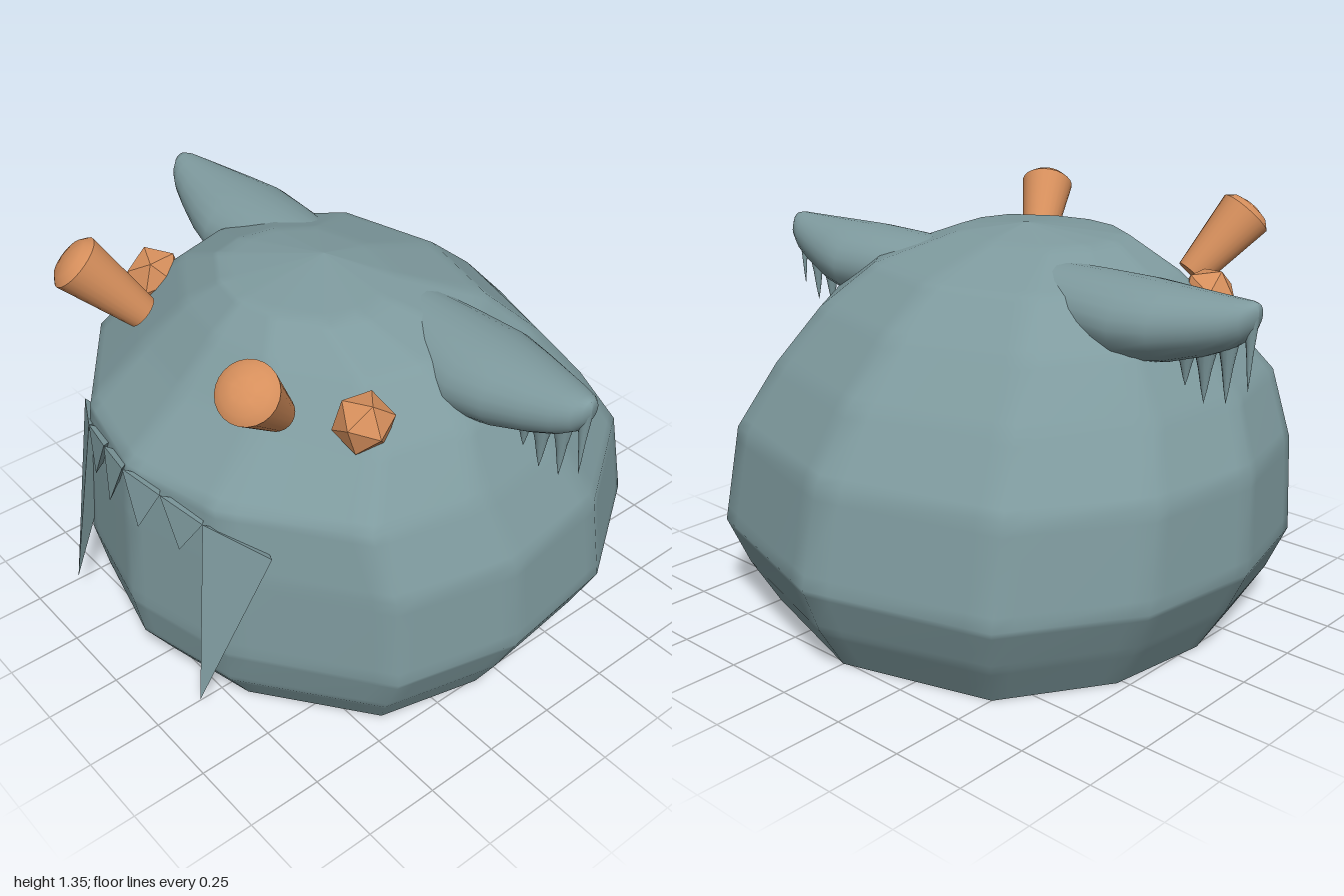
import * as THREE from 'three';
import { toCreasedNormals } from 'three/addons/utils/BufferGeometryUtils.js';
import { ConvexGeometry } from 'three/addons/geometries/ConvexGeometry.js';

const skin = new THREE.MeshStandardMaterial({ color: 0x7f9b9f });
skin.name = 'slateTeal';
const orange = new THREE.MeshStandardMaterial({ color: 0xd68f5c });
orange.name = 'orange';

function add(parent, name, geometry, material) {
  const mesh = new THREE.Mesh(geometry, material);
  mesh.name = name;
  parent.add(mesh);
  return mesh;
}

// Skin a list of closed rings of [x, y, z] points
function loft(rings) {
  const n = rings[0].length;
  const index = [];
  for (let v = 0; v < rings.length - 1; v++) {
    for (let u = 0; u < n; u++) {
      const a = v * n + u, b = v * n + (u + 1) % n;
      index.push(a, b, b + n, a, b + n, a + n);
    }
  }
  const g = new THREE.BufferGeometry();
  g.setAttribute('position', new THREE.Float32BufferAttribute(rings.flat(2), 3));
  g.setIndex(index);
  g.computeVertexNormals();
  return g;
}

// Add a sample close to each side of every corner: flat facets with soft edges
const mix = (a, b, t) => a.map((v, i) => v + (b[i] - v) * t);
function soften(list, closed) {
  const out = [];
  const last = list.length - (closed ? 0 : 1);
  for (let i = 0; i < last; i++) {
    const a = list[i], b = list[(i + 1) % list.length];
    out.push(a, mix(a, b, 0.14), mix(a, b, 0.86));
  }
  if (!closed) out.push(list[list.length - 1]);
  return out;
}

// Twelve-sided body outline, from the front round the left to the back
const half = [[0, 1], [0.42, 0.9], [0.89, 0.55], [1, 0.11], [0.94, -0.36], [0.66, -0.8], [0, -1]];
const outline = soften([...half, ...half.slice(1, -1).reverse().map(([x, z]) => [-x, z])], true);
// Levels: height, half width, front z, back z
const levels = [
  [0, 0.76, 0.77, -0.76], [0.15, 0.85, 0.87, -0.85], [0.31, 0.93, 0.9, -0.91],
  [0.63, 0.91, 0.88, -0.84], [0.84, 0.81, 0.865, -0.7], [1.02, 0.69, 0.66, -0.53],
  [1.16, 0.52, 0.53, -0.36], [1.25, 0.3, 0.43, -0.08], [1.29, 0, 0.1, 0.1],
];
const bodyRing = ([y, w, front, back]) =>
  outline.map(([x, z]) => [x * w, y, (front + back) / 2 + z * (front - back) / 2]);

function buildBody(group) {
  add(group, 'body', loft(soften(levels, false).map(bodyRing)), skin);
  add(group, 'underside', loft([bodyRing([0, 0, 0, 0]), bodyRing(levels[0])]), skin);
}

// Ear stations: x, top y, bottom y, half depth
const earStations = [
  [0.25, 1.22, 1.02, 0.13], [0.42, 1.222, 0.98, 0.165], [0.6, 1.222, 0.97, 0.185],
  [0.72, 1.22, 0.99, 0.155], [0.84, 1.218, 1.03, 0.115], [0.92, 1.217, 1.065, 0.085],
  [0.97, 1.217, 1.1, 0.058], [0.993, 1.213, 1.14, 0.033], [1, 1.19, 1.17, 0],
];

function buildEar(side) {
  const rings = earStations.map(([x, top, bottom, depth]) =>
    Array.from({ length: 24 }, (_, i) => {
      const t = i / 24 * Math.PI * 2;
      return [x, (top + bottom) / 2 + Math.cos(t) * (top - bottom) / 2, -0.04 + Math.sin(t) * depth];
    }));
  add(side, 'ear', loft(rings), skin);
  // Spikes hanging below the ear: x, tip y, root y, width
  for (const [x, tip, root, w] of [
    [0.978, 0.945, 1.17, 0.02], [0.905, 0.895, 1.12, 0.034],
    [0.828, 0.88, 1.09, 0.04], [0.76, 0.92, 1.06, 0.036],
  ]) {
    const profile = [[0, 0], [0.25, 0.22], [0.5, 0.5], [1, 0.9], [1.1, 1]]
      .map(([r, h]) => new THREE.Vector2(r * w, h * (root - tip)));
    add(side, 'earSpike', new THREE.LatheGeometry(profile, 12), skin).position.set(x, tip, -0.04);
  }
}

// Flared eye stalk with a slightly domed end
function buildStalk(side) {
  const base = new THREE.Vector3(0.35, 1.09, 0.56);
  const axis = new THREE.Vector3(0.45, 1.295, 0.73).sub(base);
  const h = axis.length();
  const profile = [[0, 0], [0.056, 0], [0.094, h - 0.01], [0.07, h + 0.012], [0.035, h + 0.022], [0, h + 0.025]]
    .map(([r, y]) => new THREE.Vector2(r, y));
  const stalk = add(side, 'eyeStalk', toCreasedNormals(new THREE.LatheGeometry(profile, 24), 0.6), orange);
  stalk.position.copy(base);
  stalk.quaternion.setFromUnitVectors(new THREE.Vector3(0, 1, 0), axis.normalize());
}

// Faceted knob behind the stalk
function buildKnob(side) {
  const knob = add(side, 'knob', new THREE.IcosahedronGeometry(0.095, 0), orange);
  knob.position.set(0.535, 1.08, 0.39);
  knob.rotation.set(0.3, 0.4, 0);
}

// Each tooth is a sharp wedge rooted in the face: two roots, tip, inner point
function buildTeeth(side) {
  const teeth = [
    ['tooth', [0, 0.835, 0.885], [0.155, 0.815, 0.855], [0.08, 0.665, 0.897], [0.08, 0.8, 0.8]],
    ['tooth', [0.155, 0.815, 0.855], [0.315, 0.785, 0.815], [0.235, 0.655, 0.853], [0.23, 0.77, 0.74]],
    ['fang', [0.315, 0.785, 0.815], [0.515, 0.73, 0.715], [0.365, 0.15, 0.905], [0.38, 0.7, 0.66]],
  ];
  for (const [name, ...points] of teeth) {
    add(side, name, new ConvexGeometry(points.map((p) => new THREE.Vector3(...p))), skin);
  }
}

export function createModel() {
  const model = new THREE.Group();
  model.name = 'creature';
  buildBody(model);
  // Left half is built at +x and mirrored for the right
  for (const s of [1, -1]) {
    const side = new THREE.Group();
    side.name = s > 0 ? 'leftFeatures' : 'rightFeatures';
    side.scale.x = s;
    buildEar(side);
    buildStalk(side);
    buildKnob(side);
    buildTeeth(side);
    model.add(side);
  }
  return model;
}
